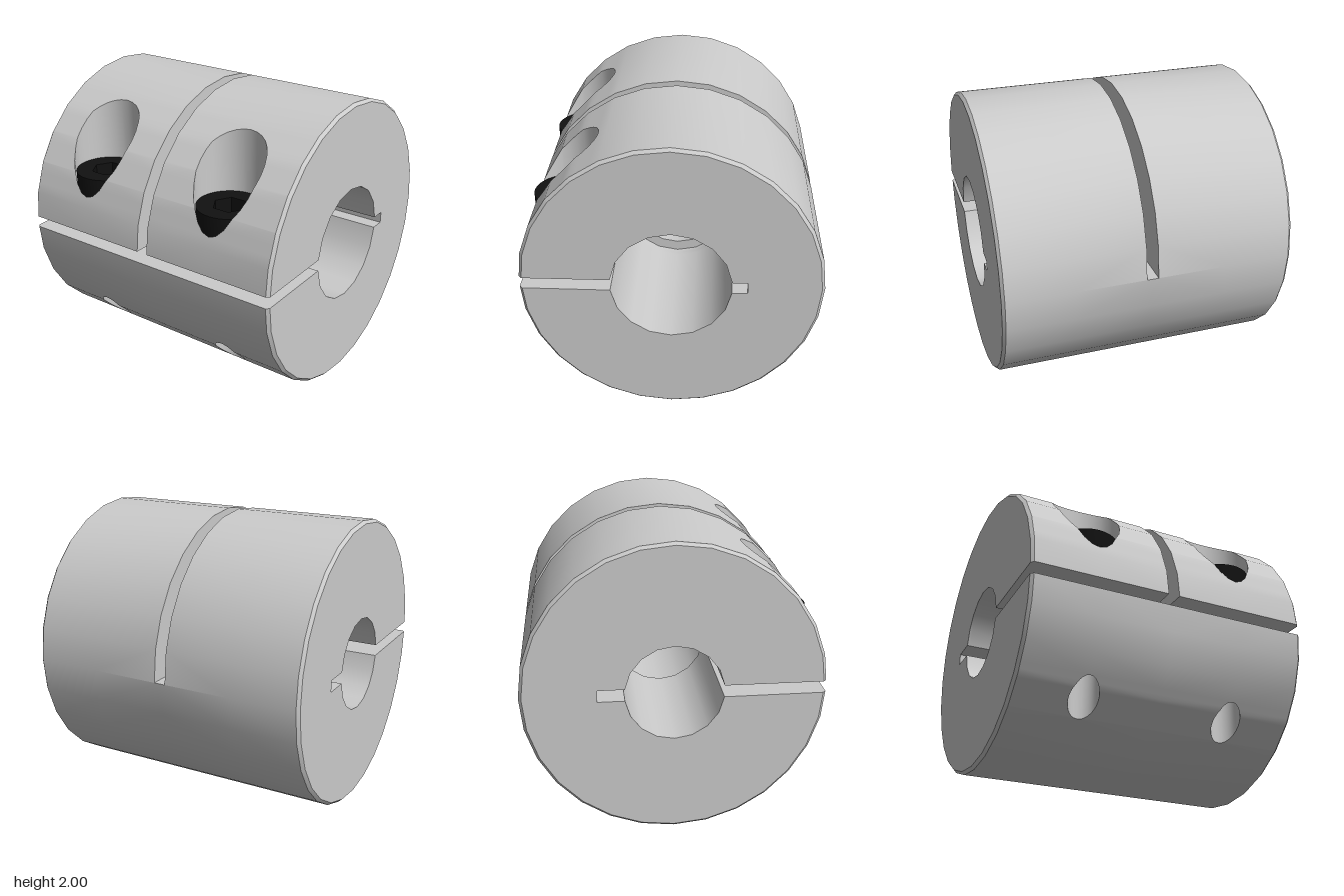
import * as THREE from 'three';
import { toCreasedNormals } from 'three/addons/utils/BufferGeometryUtils.js';

const SIDES = 28, STEP = 2 * Math.PI / SIDES;
const SLIT = 0.04;               // half height of the slit, half width of the slot
const SLIT_BACK = -0.5;
const CHAMFER = 0.02;
const SCREW = { x: 0.52, z: 0.72 };
const HEAD_BOTTOM = 1.19, HEAD_TOP = 1.43, SHAFT_END = 0.6;

// Radius of the many-sided outer wall at an angle
const rho = (t) => {
  const m = ((t % STEP) + STEP) % STEP;
  return Math.cos(STEP / 2) / Math.cos(m - STEP / 2);
};
// Cross-section points are [z, y]
const outerPoint = (t, R = 1) => [R * rho(t) * Math.cos(t), 1 + R * rho(t) * Math.sin(t)];
const SLIT_ANGLE = Math.asin(SLIT);

// Angles of the upper half wall, with extra rows along the edge of a vertical screw hole
function wallAngles(holeRadius) {
  const list = [SLIT_ANGLE];
  for (let k = 1; k <= SIDES / 2; k++) list.push(k * STEP);
  for (let k = 0; k <= 14; k++) {
    const z = SCREW.z + holeRadius * Math.cos(k * Math.PI / 14);
    let t = Math.acos(z);
    for (let i = 0; i < 25; i++) t = Math.acos(z / rho(t));
    list.push(t);
  }
  return list.sort((a, b) => a - b);
}

// Bore and slit outline of the upper half, from the back of the slit to the front
function innerUpper(bore, R = 1) {
  const a = Math.asin(SLIT / bore), pts = [[SLIT_BACK, 1], [SLIT_BACK, 1 + SLIT]];
  for (let i = 0; i <= 8; i++) {
    const t = Math.PI - a - i * (Math.PI - 2 * a) / 8;
    pts.push([bore * Math.cos(t), 1 + bore * Math.sin(t)]);
  }
  pts.push(outerPoint(SLIT_ANGLE, R));
  return pts;
}
const flip = (pts) => pts.map(([z, y]) => [z, 2 - y]).reverse();
const innerLower = (bore, R) => flip(innerUpper(bore, R));

// One half of the body, on side s of the slot
function bodyHalf(s, bore) {
  const pos = [];
  const tri = (a, b, c) => {
    for (const p of s > 0 ? [a, b, c] : [a, c, b]) pos.push(s * p[0], p[1], p[2]);
  };
  const quad = (a, b, c, d) => { tri(a, b, c); tri(a, c, d); };
  const at = (x, [z, y]) => [x, y, z];
  const loft = (x0, A, x1, B) => {
    for (let i = 0; i < A.length - 1; i++)
      quad(at(x0, A[i]), at(x1, B[i]), at(x1, B[i + 1]), at(x0, A[i + 1]));
  };
  const face = (x, pts, outward) => {
    const v = pts.map((p) => new THREE.Vector2(...p));
    for (const [a, b, c] of THREE.ShapeUtils.triangulateShape(v, []))
      if (outward) tri(at(x, pts[a]), at(x, pts[c]), at(x, pts[b]));
      else tri(at(x, pts[a]), at(x, pts[b]), at(x, pts[c]));
  };
  const edge = 1 - CHAMFER;

  // Outer wall with a screw hole, and the wall of the hole down to its floor
  const outerWall = (x0, pts, r, floor) => {
    const w = pts.map(([z]) => {
      const h = Math.sqrt(Math.max(0, r * r - (z - SCREW.z) ** 2));
      return h < 1e-3 ? 0 : h;
    });
    for (let i = 0; i < pts.length - 1; i++) {
      const A = pts[i], B = pts[i + 1];
      const la = SCREW.x - w[i], lb = SCREW.x - w[i + 1];
      const ra = SCREW.x + w[i], rb = SCREW.x + w[i + 1];
      quad(at(x0, A), at(la, A), at(lb, B), at(x0, B));
      quad(at(ra, A), at(edge, A), at(edge, B), at(rb, B));
      if (w[i] + w[i + 1] > 0) {
        const Af = [A[0], floor], Bf = [B[0], floor];
        quad(at(ra, A), at(rb, B), at(rb, Bf), at(ra, Af));
        quad(at(la, A), at(la, Af), at(lb, Bf), at(lb, B));
      }
    }
  };
  const upAngles = wallAngles(0.23), lowAngles = wallAngles(0.1);
  const upper = (R) => upAngles.map((t) => outerPoint(t, R));
  const lower = (R) => flip(lowAngles.map((t) => outerPoint(t, R)));
  outerWall(SLIT, upper(1), 0.23, HEAD_BOTTOM);
  outerWall(0, lower(1), 0.1, SHAFT_END);

  // Chamfer and end face
  loft(edge, upper(1), 1, upper(edge));
  loft(edge, lower(1), 1, lower(edge));
  face(1, [...upper(edge), ...lower(edge).slice(1),
    ...innerLower(bore, edge).slice(1), ...innerUpper(bore, edge).slice(1, -1)], true);

  // Bore and slit
  loft(SLIT, innerUpper(bore), edge, innerUpper(bore));
  loft(edge, innerUpper(bore), 1, innerUpper(bore, edge));
  loft(0, innerLower(0.4), SLIT, innerLower(0.4));
  if (bore < 0.4) loft(SLIT, innerLower(0.4), SLIT, innerLower(bore)); // step between bores
  loft(SLIT, innerLower(bore), edge, innerLower(bore));
  loft(edge, innerLower(bore), 1, innerLower(bore, edge));

  // Side and floor of the cross slot
  face(SLIT, [...upper(1), ...innerUpper(bore).slice(0, -1)], false);
  quad([0, 1, SLIT_BACK], [SLIT, 1, SLIT_BACK], [SLIT, 1, -1], [0, 1, -1]);

  const geo = new THREE.BufferGeometry();
  geo.setAttribute('position', new THREE.Float32BufferAttribute(pos, 3));
  return toCreasedNormals(geo, 0.5);
}

// Cap screw with a hexagonal socket
function makeScrew(material) {
  const screw = new THREE.Group();
  const add = (name, geo, y) => {
    const m = new THREE.Mesh(geo, material);
    m.name = name;
    m.position.y = y;
    screw.add(m);
  };
  const shaftLength = HEAD_BOTTOM - SHAFT_END;
  add('screwShaft', new THREE.CylinderGeometry(0.12, 0.12, shaftLength, 24), SHAFT_END + shaftLength / 2);
  add('screwHeadBase', new THREE.CylinderGeometry(0.22, 0.22, 0.12, 28), HEAD_BOTTOM + 0.06);
  const ring = new THREE.Shape().absarc(0, 0, 0.22, 0, 2 * Math.PI);
  const hex = [];
  for (let i = 0; i < 6; i++)
    hex.push(new THREE.Vector2(0.115 * Math.cos(i * Math.PI / 3), 0.115 * Math.sin(i * Math.PI / 3)));
  ring.holes.push(new THREE.Path(hex));
  const top = new THREE.ExtrudeGeometry(ring, { depth: 0.12, bevelEnabled: false, curveSegments: 28 });
  top.rotateX(-Math.PI / 2);
  add('screwHeadSocket', toCreasedNormals(top, 0.5), HEAD_TOP - 0.12);
  return screw;
}

export function createModel() {
  const model = new THREE.Group();
  model.name = 'shaftCoupling';
  const grey = new THREE.MeshStandardMaterial({ color: 0xcccccc, side: THREE.DoubleSide });
  const black = new THREE.MeshStandardMaterial({ color: 0x111111 });

  for (const [s, bore, label] of [[1, 0.4, 'left'], [-1, 0.325, 'right']]) {
    const body = new THREE.Mesh(bodyHalf(s, bore), grey);
    body.name = label + 'Body';
    model.add(body);

    const seat = new THREE.Mesh(new THREE.CircleGeometry(0.23, 28).rotateX(-Math.PI / 2), grey);
    seat.name = label + 'ScrewSeat';
    seat.position.set(s * SCREW.x, HEAD_BOTTOM, SCREW.z);
    model.add(seat);

    const screw = makeScrew(black);
    screw.name = label + 'Screw';
    screw.position.set(s * SCREW.x, 0, SCREW.z);
    model.add(screw);
  }
  return model;
}
